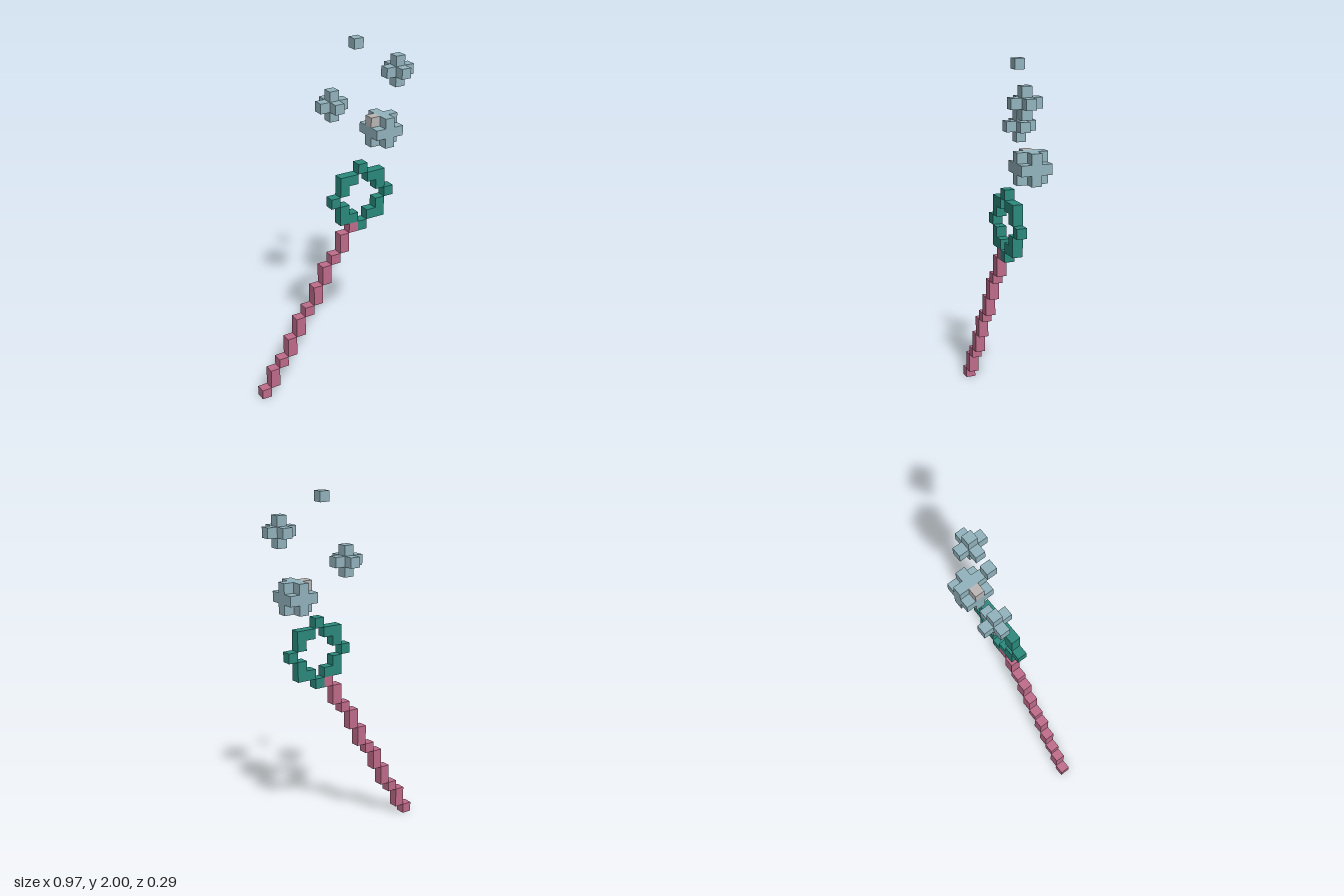
import * as THREE from 'three';
import { mergeGeometries } from 'three/addons/utils/BufferGeometryUtils.js';

const U = 2 / 35; // edge of one cube

const mat = (name, color) => {
  const m = new THREE.MeshStandardMaterial({ color });
  m.name = name;
  return m;
};

// Offset of each cube side, with the rotation that turns a +z plane to face it
const SIDES = [
  [1, 0, 0, 0, Math.PI / 2], [-1, 0, 0, 0, -Math.PI / 2],
  [0, 1, 0, -Math.PI / 2, 0], [0, -1, 0, Math.PI / 2, 0],
  [0, 0, 1, 0, 0], [0, 0, -1, 0, Math.PI],
];

// All cells of a 3x3x3 block whose offset from the centre passes the test
function block(cx, cy, cz, test) {
  const cells = [];
  for (let x = -1; x <= 1; x++)
    for (let y = -1; y <= 1; y++)
      for (let z = -1; z <= 1; z++)
        if (test(Math.abs(x) + Math.abs(y) + Math.abs(z), x, y, z)) cells.push([cx + x, cy + y, cz + z]);
  return cells;
}

// Rod: one column per step, one or two cubes tall
function rodCells() {
  const cells = [];
  let y = 0;
  [1, 2, 1, 2, 2, 1, 2, 2, 1, 2, 1].forEach((h, x) => {
    for (let i = 0; i < h; i++) cells.push([x, y++, 3]);
  });
  return cells;
}

// Ring: four tips and four L-shaped corners
function ringCells() {
  const cells = [[0, 3], [0, -3], [3, 0], [-3, 0]];
  for (const sx of [-1, 1])
    for (const sy of [-1, 1]) cells.push([sx, 2 * sy], [2 * sx, 2 * sy], [2 * sx, sy]);
  return cells.map(([x, y]) => [11 + x, 19 + y, 3]);
}

export function createModel() {
  const pink = mat('pink', 0xc06c8a);
  const teal = mat('teal', 0x2b8a7e);
  const blue = mat('pale blue', 0x93b4be);
  const grey = mat('light grey', 0xbbb8b7);

  const isGlint = (x, y, z) => x === -1 && y === 1 && z === 0;
  const parts = [
    ['rod', pink, rodCells()],
    ['ring', teal, ringCells()],
    ['largeBubble', blue, block(14, 25, 2, (d, x, y, z) => d < 3 && !isGlint(x, y, z))],
    ['bubbleGlint', grey, [[13, 26, 2]]],
    ['leftBubble', blue, block(15, 31, 3, (d) => d < 2)],
    ['rightBubble', blue, block(9, 28, 1, (d) => d < 2)],
    ['tinyBubble', blue, [[11, 34, 2]]],
  ];
  const filled = new Set(parts.flatMap(([, , cells]) => cells.map(String)));

  const group = new THREE.Group();
  group.name = 'bubbleWand';
  for (const [name, material, cells] of parts) {
    // Only the exposed sides of each cube
    const faces = [];
    for (const [x, y, z] of cells)
      for (const [dx, dy, dz, rx, ry] of SIDES) {
        if (filled.has(String([x + dx, y + dy, z + dz]))) continue;
        faces.push(new THREE.PlaneGeometry(U, U).rotateX(rx).rotateY(ry).translate(
          (x - 8 + dx / 2) * U, (y + 0.5 + dy / 2) * U, (z - 2 + dz / 2) * U));
      }
    const mesh = new THREE.Mesh(mergeGeometries(faces), material);
    mesh.name = name;
    group.add(mesh);
  }
  return group;
}
